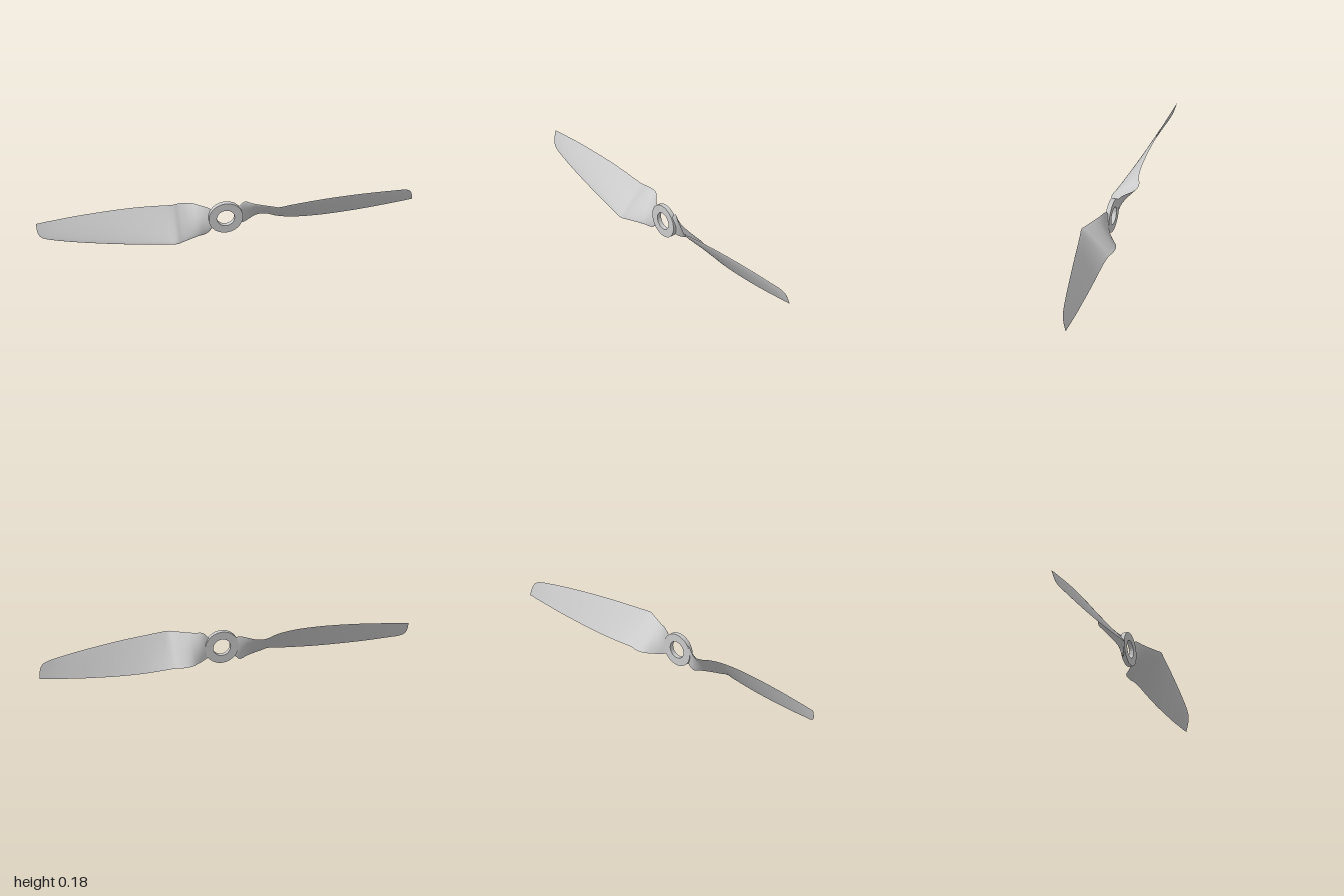
import * as THREE from 'three';
import { toCreasedNormals } from 'three/addons/utils/BufferGeometryUtils.js';

const CY = 0.0915; // height of the hub axis

// Blade stations: x, leading edge y and z, trailing edge y and z, thickness
const STATIONS = [
  [0.06, 0.140, -0.002, 0.045, -0.004, 0.012],
  [0.10, 0.181, 0.003, 0.034, -0.026, 0.014],
  [0.14, 0.178, 0.022, 0.034, -0.056, 0.016],
  [0.17, 0.177, 0.036, 0.035, -0.077, 0.017],
  [0.20, 0.177, 0.050, 0.035, -0.085, 0.017],
  [0.24, 0.178, 0.068, 0.032, -0.080, 0.017],
  [0.27, 0.178, 0.081, 0.028, -0.067, 0.017],
  [0.32, 0.179, 0.073, 0.021, -0.059, 0.017],
  [0.40, 0.179, 0.060, 0.015, -0.055, 0.016],
  [0.50, 0.178, 0.045, 0.014, -0.054, 0.015],
  [0.60, 0.174, 0.030, 0.018, -0.054, 0.013],
  [0.70, 0.168, 0.015, 0.025, -0.054, 0.012],
  [0.80, 0.160, 0.000, 0.034, -0.055, 0.010],
  [0.90, 0.149, -0.016, 0.046, -0.055, 0.008],
  [0.95, 0.142, -0.026, 0.052, -0.055, 0.006],
  [0.975, 0.133, -0.032, 0.056, -0.055, 0.005],
  [0.992, 0.112, -0.040, 0.058, -0.055, 0.003],
  [1.00, 0.066, -0.053, 0.059, -0.055, 0.001],
];

// One skin of the blade; side +1 is the cambered front, -1 the nearly flat back
function skin(side, bulge) {
  const curve = (iy, iz) =>
    new THREE.CatmullRomCurve3(STATIONS.map((s) => new THREE.Vector3(s[0], s[iy] - CY, s[iz])));
  const lead = curve(1, 2), trail = curve(3, 4);
  const thick = new THREE.CatmullRomCurve3(STATIONS.map((s) => new THREE.Vector3(s[0], s[5], 0)));
  const rows = (STATIONS.length - 1) * 4, cols = 20;
  const pos = [], index = [];
  for (let i = 0; i <= rows; i++) {
    const a = lead.getPoint(i / rows), b = trail.getPoint(i / rows);
    const t = thick.getPoint(i / rows).y;
    const dy = b.y - a.y, dz = b.z - a.z, len = Math.hypot(dy, dz);
    for (let k = 0; k <= cols; k++) {
      const u = (k / cols) ** 2; // points gather at the rounded leading edge
      const h = side * bulge * t * 2 * Math.sqrt(u) * (1 - u) * 1.3 / 2;
      pos.push(a.x + (b.x - a.x) * u, a.y + dy * u + (h * dz) / len, a.z + dz * u - (h * dy) / len);
    }
  }
  for (let i = 0; i < rows; i++) {
    for (let k = 0; k < cols; k++) {
      const a = i * (cols + 1) + k, d = a + 1, b = a + cols + 1, c = b + 1;
      if (side > 0) index.push(a, d, b, d, c, b);
      else index.push(a, b, d, d, b, c);
    }
  }
  const geo = new THREE.BufferGeometry();
  geo.setAttribute('position', new THREE.Float32BufferAttribute(pos, 3));
  geo.setIndex(index);
  geo.computeVertexNormals();
  return geo;
}

export function createModel() {
  const model = new THREE.Group();
  model.name = 'propeller';
  const material = new THREE.MeshStandardMaterial({ color: 0xcccccc });

  // Hub ring with a bore
  const ring = new THREE.Shape().absarc(0, 0, 0.0905, 0, Math.PI * 2);
  ring.holes.push(new THREE.Path().absarc(0, 0, 0.047, 0, Math.PI * 2, true));
  const hubGeo = new THREE.ExtrudeGeometry(ring, { depth: 0.024, bevelEnabled: false, curveSegments: 48 });
  const hub = new THREE.Mesh(toCreasedNormals(hubGeo, 0.6), material);
  hub.name = 'hub';
  hub.position.set(0, CY, -0.014);
  model.add(hub);

  // Two twisted blades, half a turn apart
  const front = skin(1, 1), back = skin(-1, 0.2);
  ['leftBlade', 'rightBlade'].forEach((name, i) => {
    const blade = new THREE.Group();
    blade.name = name;
    [['bladeFront', front], ['bladeBack', back]].forEach(([part, geo]) => {
      const mesh = new THREE.Mesh(geo, material);
      mesh.name = part;
      blade.add(mesh);
    });
    blade.position.y = CY;
    blade.rotation.z = i * Math.PI;
    model.add(blade);
  });
  return model;
}
